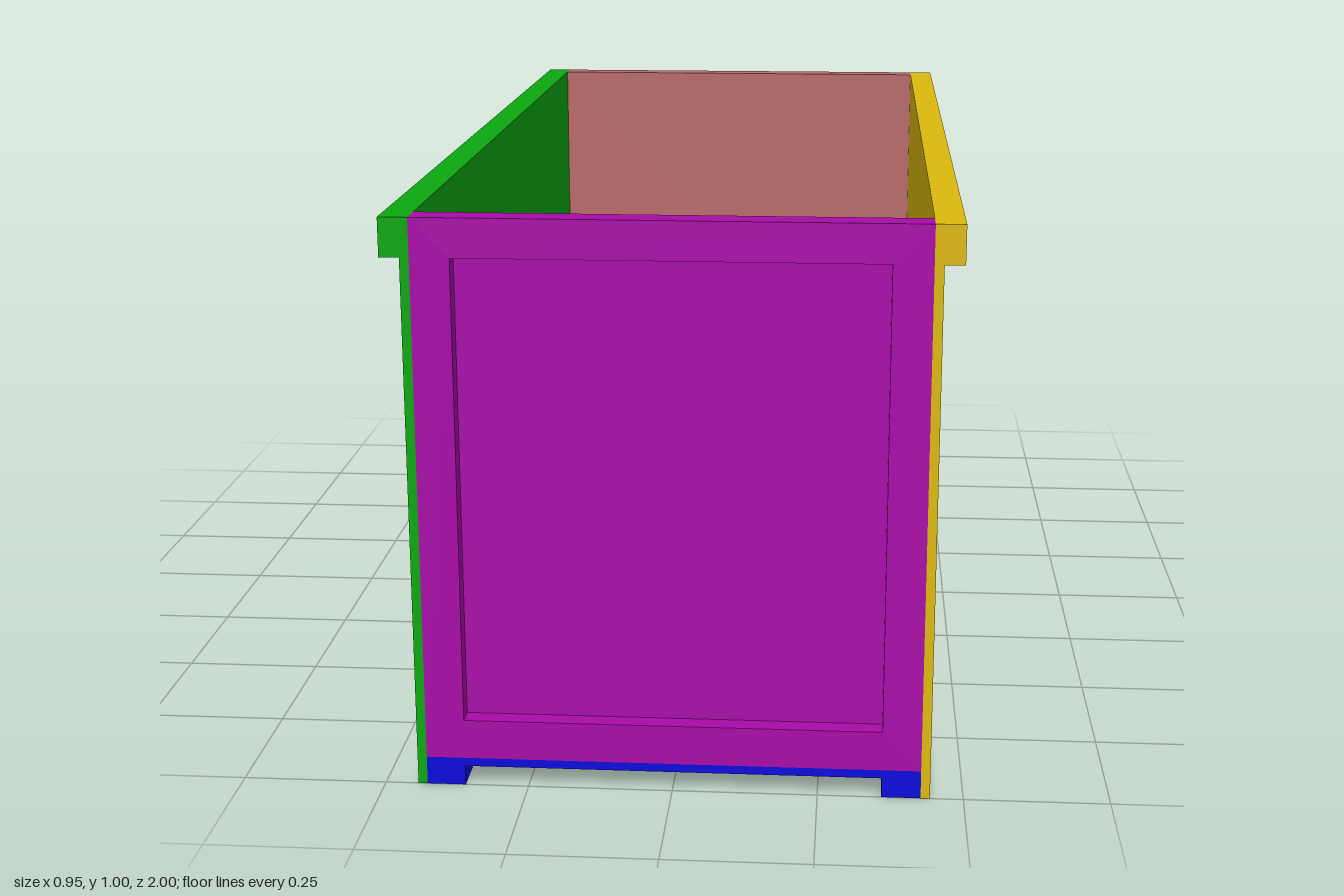
import * as THREE from 'three';

const LENGTH = 2, HEIGHT = 1;
const INNER = 0.427;  // half width between the side walls
const RAIL = 0.36;    // inner edge of runners and of the end frames
const FLOOR_TOP = 0.05;
const RIM = 0.933;    // underside of the rim
const END = 0.05, SKIN = 0.016;

function shapeOf(points) {
  return new THREE.Shape(points.map(([x, y]) => new THREE.Vector2(x, y)));
}

function rect(x0, y0, x1, y1) {
  return [[x0, y0], [x1, y0], [x1, y1], [x0, y1]];
}

// Extrudes a front-facing outline from z0 to z1
function slab(name, shape, z0, z1, color) {
  const geometry = new THREE.ExtrudeGeometry(shape, { depth: z1 - z0, bevelEnabled: false });
  geometry.translate(0, 0, z0);
  const mesh = new THREE.Mesh(geometry, new THREE.MeshStandardMaterial({ color }));
  mesh.name = name;
  return mesh;
}

// Side wall with an outward rim along its top edge
function sideWall(name, side, color) {
  const profile = [[INNER, 0], [0.443, 0], [0.443, RIM], [0.477, RIM], [0.477, HEIGHT], [INNER, HEIGHT]];
  return slab(name, shapeOf(profile.map(([x, y]) => [x * side, y])), -LENGTH / 2, LENGTH / 2, color);
}

// End wall: a thin skin inside, a raised frame outside
function endWall(name, color) {
  const group = new THREE.Group();
  group.name = name;
  const outline = rect(-INNER, FLOOR_TOP, INNER, HEIGHT);
  const frame = shapeOf(outline);
  frame.holes.push(shapeOf(rect(-RAIL, 0.12, RAIL, RIM)));
  const inside = LENGTH / 2 - END;
  group.add(
    slab(name + 'Skin', shapeOf(outline), inside, inside + SKIN, color),
    slab(name + 'Frame', frame, inside + SKIN, LENGTH / 2, color)
  );
  return group;
}

export function createModel() {
  const model = new THREE.Group();
  model.name = 'openBox';

  // Side walls
  model.add(sideWall('leftWall', 1, 0xdcb80e), sideWall('rightWall', -1, 0x0ca810));

  // End walls
  const back = endWall('backWall', 0xb86a6a);
  back.rotation.y = Math.PI;
  model.add(endWall('frontWall', 0xa80ca8), back);

  // Floor with a runner along each side
  const floor = shapeOf([
    [-INNER, 0], [-RAIL, 0], [-RAIL, 0.035], [RAIL, 0.035],
    [RAIL, 0], [INNER, 0], [INNER, FLOOR_TOP], [-INNER, FLOOR_TOP]
  ]);
  model.add(slab('floor', floor, -LENGTH / 2, LENGTH / 2, 0x0c0cdc));

  return model;
}
